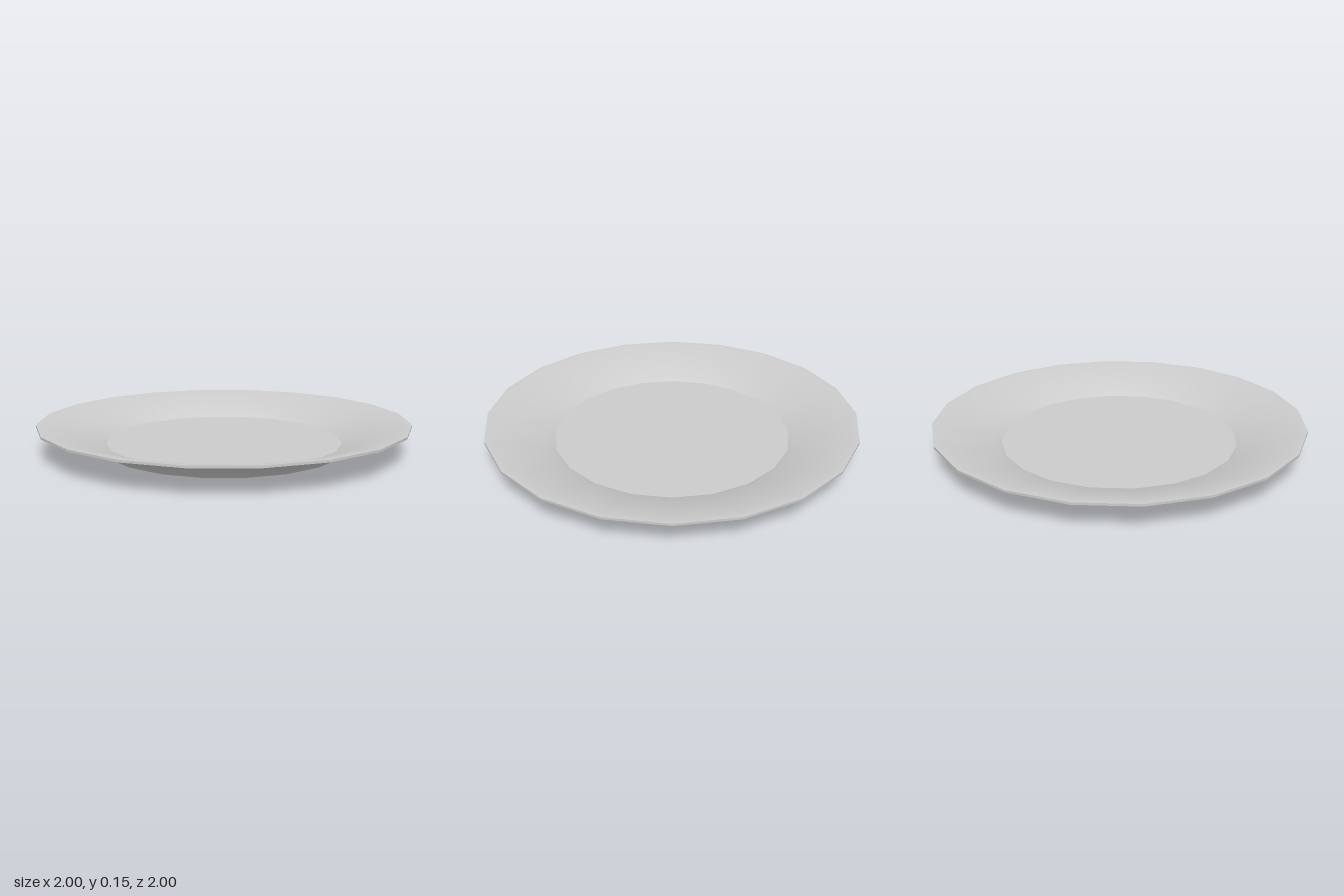
import * as THREE from 'three';
import { toCreasedNormals } from 'three/addons/utils/BufferGeometryUtils.js';

const SIDES = 20;

export function createModel() {
  // Cross-section as [radius, height], from the underside centre round to the well centre
  const profile = [
    [0, 0.015], [0.61, 0.015], // recessed underside
    [0.63, 0], [0.655, 0],     // foot ring
    [0.695, 0.037],            // foot bevel
    [1, 0.138], [1, 0.15],     // outer slope and lip
    [0.965, 0.15],             // rim
    [0.675, 0.057],            // inner slope
    [0.64, 0.036], [0, 0.036], // well
  ].map(([r, y]) => new THREE.Vector2(r, y));

  const geometry = toCreasedNormals(
    new THREE.LatheGeometry(profile, SIDES),
    THREE.MathUtils.degToRad(30)
  );
  const plate = new THREE.Mesh(geometry, new THREE.MeshStandardMaterial({ color: 0xcccccc }));
  plate.name = 'plate';

  const group = new THREE.Group();
  group.name = 'dinnerPlate';
  group.add(plate);
  return group;
}
